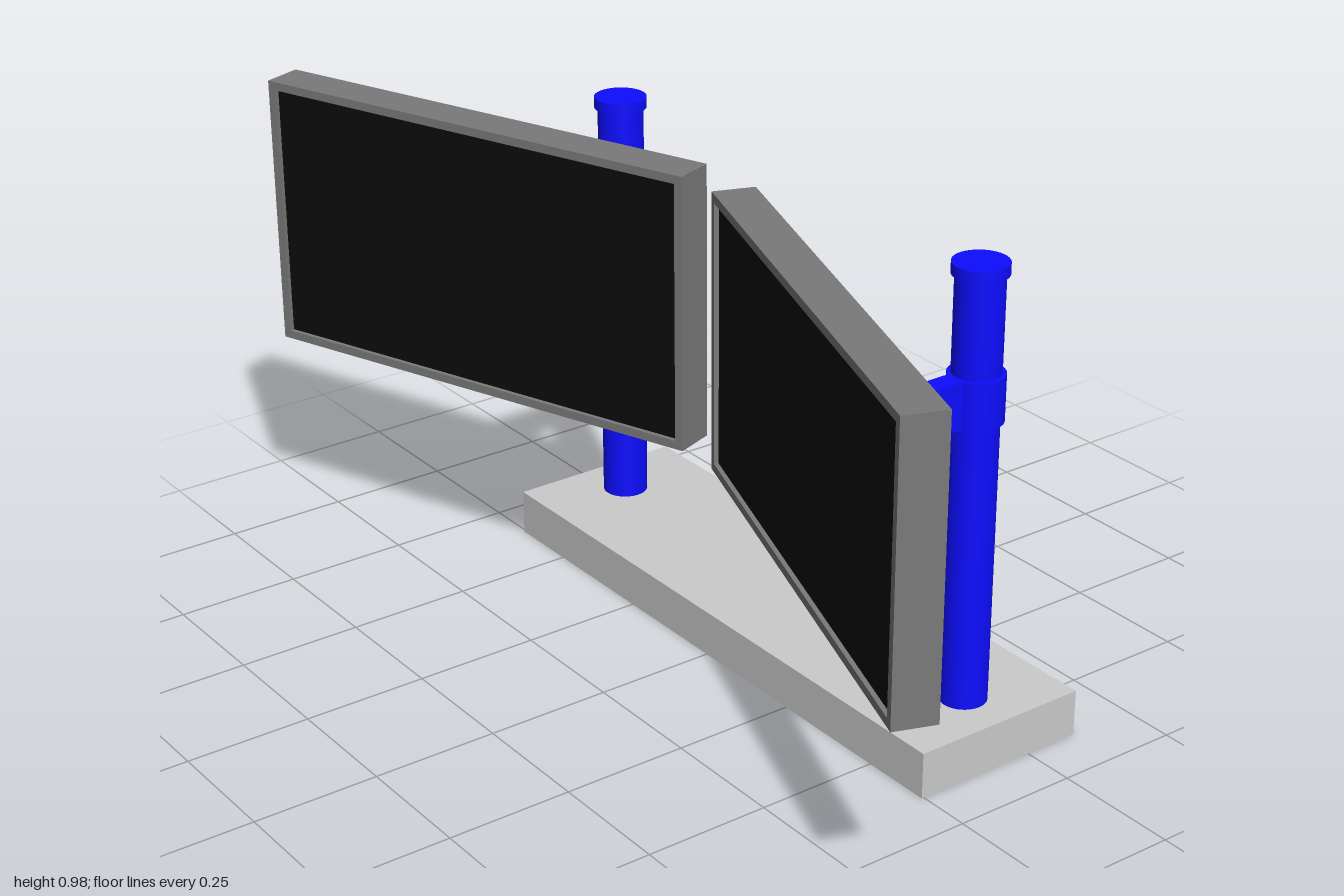
import * as THREE from 'three';

const mat = (color) => new THREE.MeshStandardMaterial({ color });
const grey = mat(0xcccccc);
const darkGrey = mat(0x7a7a7a);
const blue = mat(0x0d0dff);
const black = mat(0x0c0c0c);

function add(parent, name, geometry, material, x = 0, y = 0, z = 0) {
  const mesh = new THREE.Mesh(geometry, material);
  mesh.name = name;
  mesh.position.set(x, y, z);
  parent.add(mesh);
  return mesh;
}

// Upright cylinder between two heights
function tube(parent, name, radius, y0, y1, x, z) {
  add(parent, name, new THREE.CylinderGeometry(radius, radius, y1 - y0, 40), blue, x, (y0 + y1) / 2, z);
}

// Flat panel with a raised bezel around a slightly recessed screen, facing +z
function createMonitor() {
  const W = 0.985, H = 0.552, T = 0.083, border = 0.017, recess = 0.01;
  const monitor = new THREE.Group();
  monitor.name = 'monitor';
  const w = W / 2, h = H / 2, iw = w - border, ih = h - border;

  add(monitor, 'monitorBody', new THREE.BoxGeometry(W, H, T - recess), darkGrey, 0, 0, -recess / 2);

  const outline = new THREE.Shape()
    .moveTo(-w, -h).lineTo(w, -h).lineTo(w, h).lineTo(-w, h).closePath();
  outline.holes.push(new THREE.Path()
    .moveTo(-iw, -ih).lineTo(-iw, ih).lineTo(iw, ih).lineTo(iw, -ih).closePath());
  add(monitor, 'bezel', new THREE.ExtrudeGeometry(outline, { depth: recess, bevelEnabled: false }),
    darkGrey, 0, 0, T / 2 - recess);

  add(monitor, 'screen', new THREE.PlaneGeometry(iw * 2, ih * 2), black, 0, 0, T / 2 - recess + 0.001);
  return monitor;
}

export function createModel() {
  const model = new THREE.Group();
  model.name = 'dualMonitorStand';

  // Shared base slab
  add(model, 'base', new THREE.BoxGeometry(1.29, 0.093, 0.368), grey, 0, 0.0465, -0.179);

  for (const side of [-1, 1]) {
    const station = new THREE.Group();
    station.name = side > 0 ? 'leftStation' : 'rightStation';
    const x = side * 0.537, z = -0.181, armY = 0.703;

    // Post with top cap and sliding collar
    tube(station, 'post', 0.0455, 0.093, 0.945, x, z);
    tube(station, 'postCap', 0.052, 0.934, 0.956, x, z);
    tube(station, 'collar', 0.053, 0.657, 0.748, x, z);

    // Arm reaching forward to the ball joint
    add(station, 'arm', new THREE.BoxGeometry(0.042, 0.091, 0.29), blue, x, armY, -0.036);
    add(station, 'ballJoint', new THREE.SphereGeometry(0.0545, 32, 20), darkGrey, x, 0.704, 0.1185);

    // Monitor, angled inwards
    const monitor = createMonitor();
    monitor.position.set(side * 0.5225, 0.704, 0.1575);
    monitor.rotation.y = -side * THREE.MathUtils.degToRad(20);
    station.add(monitor);
    model.add(station);
  }
  return model;
}
